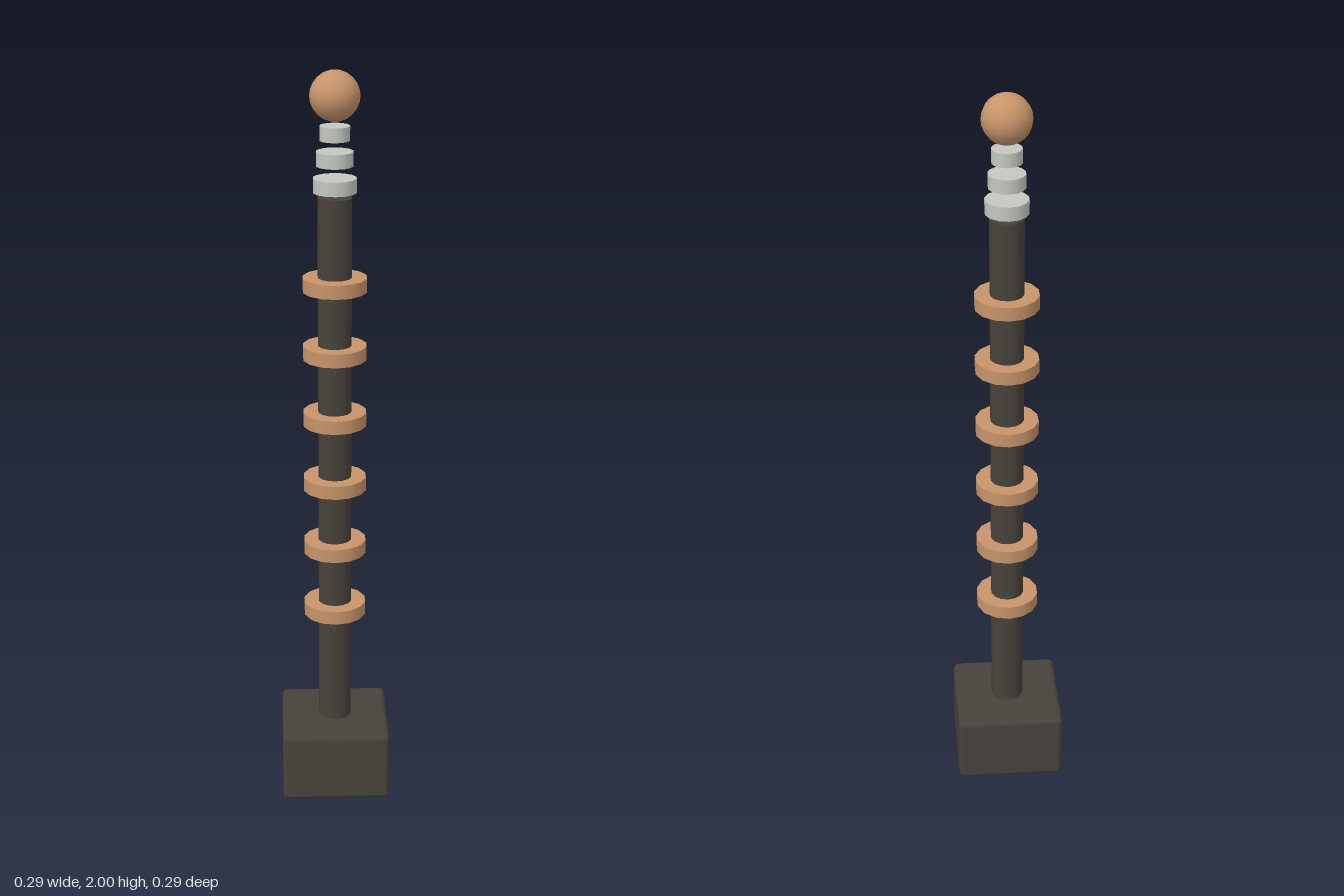
import * as THREE from 'three';
import { RoundedBoxGeometry } from 'three/addons/geometries/RoundedBoxGeometry.js';

const SIDES = 14;

export function createModel() {
  const model = new THREE.Group();
  model.name = 'coilPylon';

  const dark = new THREE.MeshStandardMaterial({ color: 0x47423b });
  dark.name = 'dark iron';
  const copper = new THREE.MeshStandardMaterial({ color: 0xc8946a });
  copper.name = 'copper';
  const pale = new THREE.MeshStandardMaterial({ color: 0xc4c8c0 });
  pale.name = 'pale ceramic';

  function add(name, geometry, material, y) {
    const mesh = new THREE.Mesh(geometry, material);
    mesh.name = name;
    mesh.position.y = y;
    model.add(mesh);
  }
  const disc = (radius, height) => new THREE.CylinderGeometry(radius, radius, height, SIDES);

  // Block base with softened edges
  add('base', new RoundedBoxGeometry(0.295, 0.197, 0.295, 2, 0.015), dark, 0.0985);

  // Shaft from the base up to just under the insulators
  add('shaft', disc(0.045, 1.487), dark, 0.9335);

  // Six evenly spaced coil rings
  for (let i = 0; i < 6; i++) {
    add(`coilRing${i + 1}`, disc(0.085, 0.037), copper, 0.53 + i * 0.1838);
  }

  // Stack of shrinking, separated insulator discs
  [[0.057, 1.709], [0.0485, 1.777], [0.0395, 1.842]].forEach(([radius, y], i) => {
    add(`insulator${i + 1}`, disc(radius, 0.037), pale, y);
  });

  // Ball terminal
  add('terminalBall', new THREE.SphereGeometry(0.0645, 16, 12), copper, 1.9355);

  return model;
}
